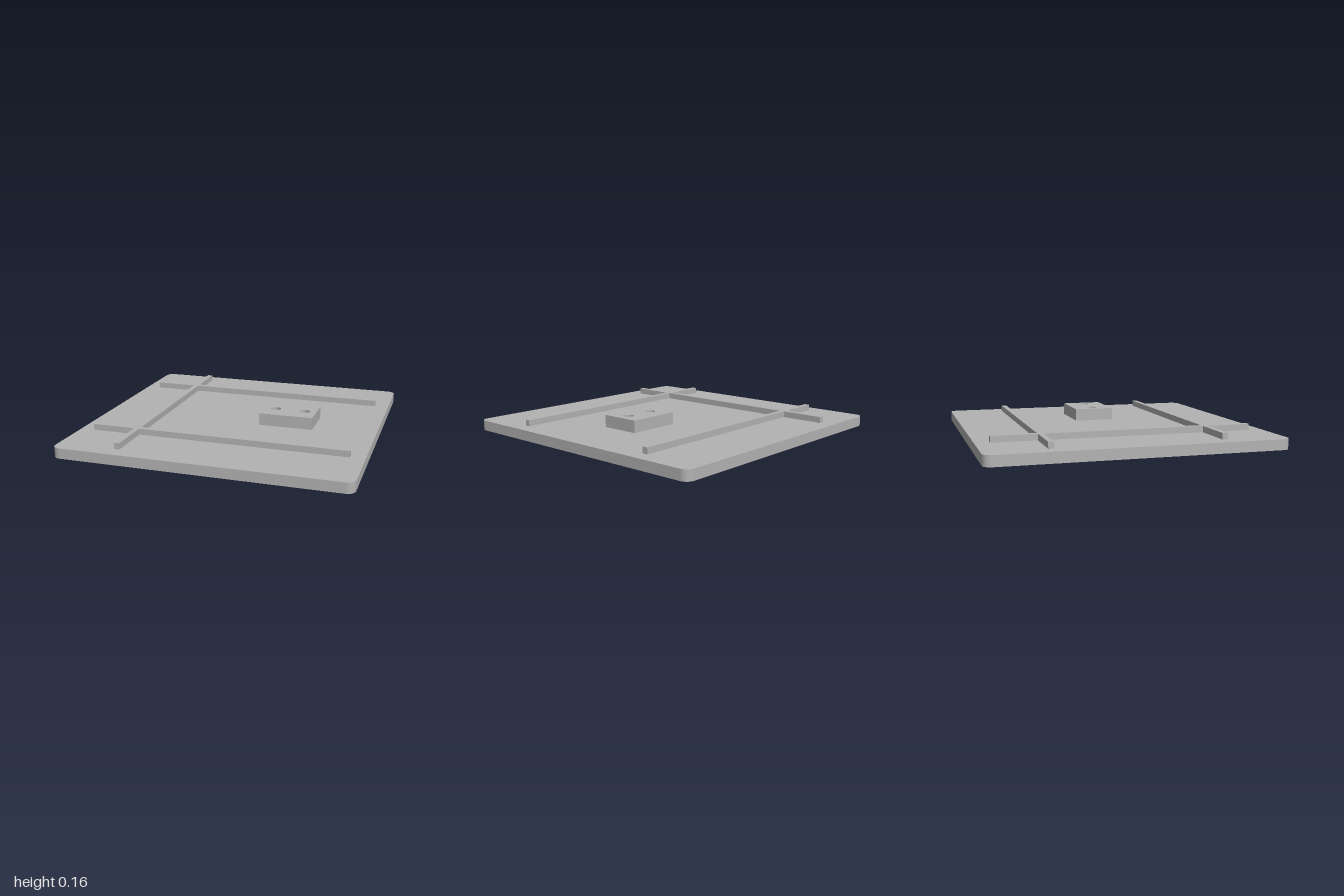
import * as THREE from 'three';
import { toCreasedNormals } from 'three/addons/utils/BufferGeometryUtils.js';

const PLATE_TOP = 0.072, RIB_TOP = 0.115, BLOCK_TOP = 0.158;
const HOLES_X = [0.257, 0.471], HOLE_RADIUS = 0.036;

export function createModel() {
  const group = new THREE.Group();
  const grey = new THREE.MeshStandardMaterial({ color: 0xb3b3b3 });
  grey.name = 'grey';

  // Extrudes a floor-plan shape upward between two heights
  function addSlab(name, shape, bottom, top) {
    const raw = new THREE.ExtrudeGeometry(shape, { depth: top - bottom, bevelEnabled: false, curveSegments: 16 });
    raw.rotateX(-Math.PI / 2);
    raw.translate(0, bottom, 0);
    const mesh = new THREE.Mesh(toCreasedNormals(raw, Math.PI / 6), grey);
    mesh.name = name;
    group.add(mesh);
  }

  // Cuts the two screw holes through a shape
  function drill(shape) {
    for (const x of HOLES_X) {
      shape.holes.push(new THREE.Path().absarc(x, 0, HOLE_RADIUS, 0, Math.PI * 2, true));
    }
    return shape;
  }

  // Base plate with rounded corners
  const r = 0.057, c = 1 - r;
  const plate = new THREE.Shape();
  [[c, c], [-c, c], [-c, -c], [c, -c]].forEach(([x, y], i) => {
    plate.absarc(x, y, r, i * Math.PI / 2, (i + 1) * Math.PI / 2, false);
  });
  plate.closePath();
  addSlab('basePlate', drill(plate), 0, PLATE_TOP);

  // Crossing ribs, joined in one outline: one half, then its mirror
  const end = 0.9, inner = 0.555, outer = 0.593;
  const half = [
    [-inner, inner], [end, inner], [end, outer], [-inner, outer], [-inner, end],
    [-outer, end], [-outer, outer], [-end, outer], [-end, inner], [-outer, inner],
  ];
  const mirrored = half.map(([x, y]) => [x, -y]).reverse();
  const ribs = new THREE.Shape([...half, ...mirrored].map(([x, y]) => new THREE.Vector2(x, y)));
  addSlab('ribs', ribs, PLATE_TOP, RIB_TOP);

  // Raised mounting block
  const block = new THREE.Shape();
  block.moveTo(0.171, -0.142);
  block.lineTo(0.556, -0.142);
  block.lineTo(0.556, 0.142);
  block.lineTo(0.171, 0.142);
  block.closePath();
  addSlab('mountingBlock', drill(block), PLATE_TOP, BLOCK_TOP);

  return group;
}
